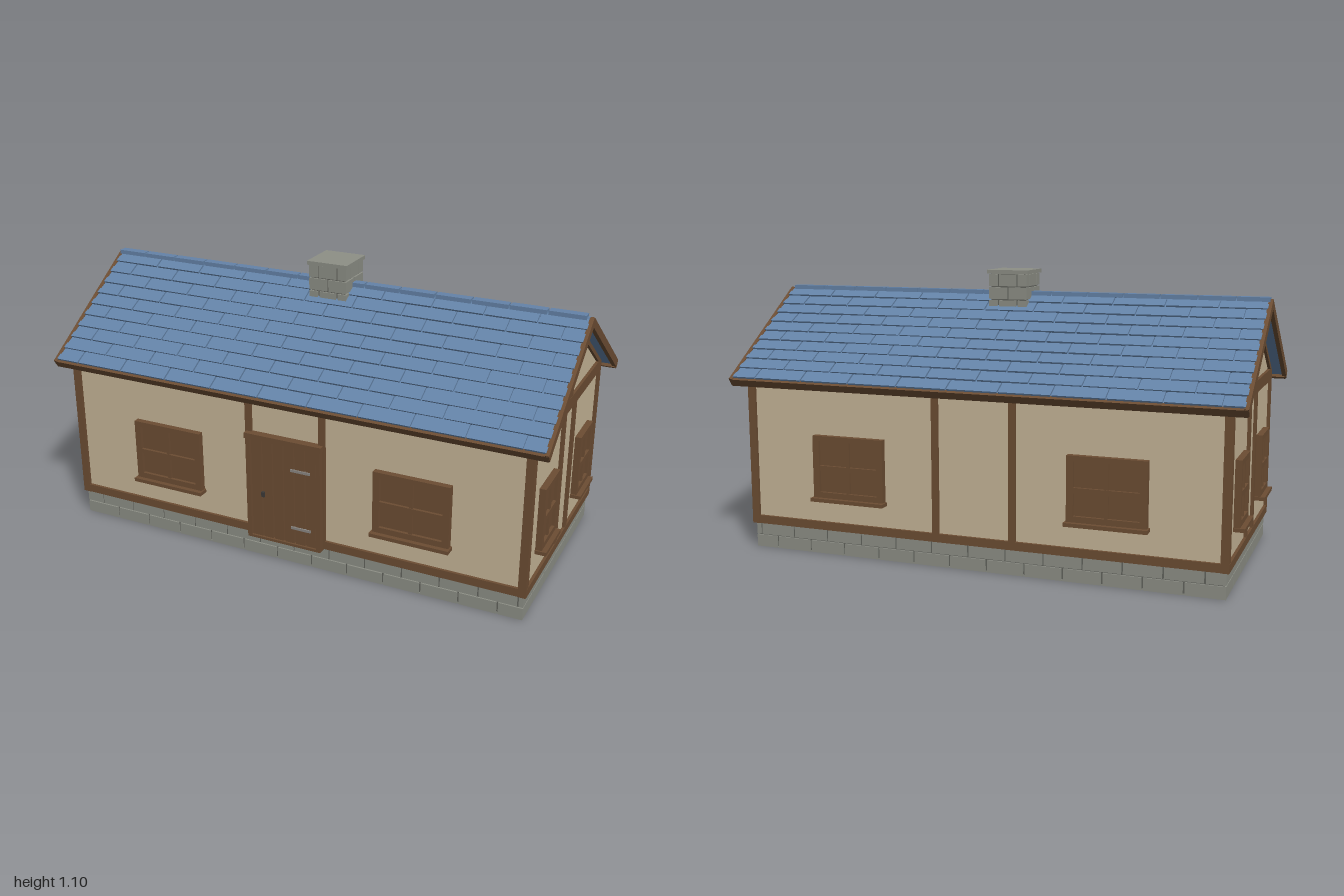
import * as THREE from 'three';
import { mergeGeometries } from 'three/addons/utils/BufferGeometryUtils.js';

const mat = (name, color) => Object.assign(new THREE.MeshStandardMaterial({ color }), { name });

// box given by its limits on each axis
const span = (x0, x1, y0, y1, z0, z1) =>
  new THREE.BoxGeometry(x1 - x0, y1 - y0, z1 - z0)
    .translate((x0 + x1) / 2, (y0 + y1) / 2, (z0 + z1) / 2);

function part(parent, name, material, geometries) {
  const mesh = new THREE.Mesh(mergeGeometries(geometries), material);
  mesh.name = name;
  parent.add(mesh);
  return mesh;
}

function group(parent, name) {
  const g = new THREE.Group();
  g.name = name;
  parent.add(g);
  return g;
}

// split -half..half into pieces of a given length, leaving a gap at every joint
function pieces(half, length, shift, gap) {
  const out = [];
  for (let a = -half - shift; a < half - 0.01; a += length) {
    const lo = Math.max(a, -half), hi = Math.min(a + length, half);
    if (hi - lo > 0.015) {
      out.push([lo === -half ? lo : lo + gap / 2, hi === half ? hi : hi - gap / 2]);
    }
  }
  return out;
}

// one ring of masonry blocks around a rectangle
function course(hx, hz, y0, y1, length, shift) {
  const t = 0.012, list = [];
  for (const s of [-1, 1]) {
    const zc = s * (hz - t / 2), xc = s * (hx - t / 2);
    for (const [a, b] of pieces(hx, length, shift, 0.007)) list.push(span(a, b, y0, y1, zc - t / 2, zc + t / 2));
    for (const [a, b] of pieces(hz, length, shift, 0.007)) list.push(span(xc - t / 2, xc + t / 2, y0, y1, a, b));
  }
  return list;
}

export function createModel() {
  const wood = mat('timber brown', 0x6c4d33);
  const plaster = mat('cream plaster', 0xc6b597);
  const slate = mat('blue slate', 0x6483a8);
  const stone = mat('grey stone', 0x8d8f86);
  const mortar = mat('dark mortar', 0x62635d);
  const iron = mat('hinge iron', 0x8a8782);
  const darkIron = mat('handle iron', 0x3c3a38);

  const house = new THREE.Group();
  house.name = 'cottage';
  const HX = 0.935, HZ = 0.43;

  // foundation
  const foundation = group(house, 'foundation');
  part(foundation, 'foundationCore', mortar, [span(-HX + 0.006, HX - 0.006, 0.004, 0.1, -HZ + 0.006, HZ - 0.006)]);
  part(foundation, 'foundationBase', stone, [span(-HX + 0.004, HX - 0.004, 0, 0.005, -HZ + 0.004, HZ - 0.004)]);
  part(foundation, 'foundationBlocks', stone, [
    ...course(HX, HZ, 0, 0.047, 0.148, 0),
    ...course(HX, HZ, 0.051, 0.098, 0.148, 0.074),
  ]);

  // plaster body with both gables
  const profile = new THREE.Shape([[-HZ, 0.098], [HZ, 0.098], [HZ, 0.683], [0, 0.972], [-HZ, 0.683]]
    .map(([x, y]) => new THREE.Vector2(x, y)));
  part(house, 'walls', plaster, [
    new THREE.ExtrudeGeometry(profile, { depth: 2 * HX, bevelEnabled: false })
      .translate(0, 0, -HX).rotateY(Math.PI / 2),
  ]);

  // corner posts
  const corners = [];
  for (const sx of [-1, 1]) for (const sz of [-1, 1]) {
    corners.push(new THREE.BoxGeometry(0.03, 0.585, 0.03).translate(sx * 0.93, 0.39, sz * 0.427));
  }
  part(house, 'cornerPosts', wood, corners);

  // a wall's own frame has z = 0 on the plaster, facing outwards
  function wallGroup(name, turn, distance) {
    const g = group(house, name);
    g.rotation.y = turn;
    g.position.set(Math.sin(turn) * distance, 0, Math.cos(turn) * distance);
    return g;
  }

  function addWindow(wall, cx, w, border) {
    const g = group(wall, 'window');
    g.position.x = cx;
    const h = w / 2, y0 = 0.23, y1 = 0.472, m = 0.007;
    part(g, 'windowPanel', wood, [span(-h + 0.005, h - 0.005, y0, y1 - 0.005, -0.005, 0.012)]);
    part(g, 'windowFrame', wood, [
      span(-h, -h + border, y0, y1, -0.005, 0.024), span(h - border, h, y0, y1, -0.005, 0.024),
      span(-h, h, y0, y0 + 0.022, -0.005, 0.024), span(-h, h, y1 - 0.02, y1, -0.005, 0.024),
      span(-m, m, y0, y1, 0, 0.021), span(-h, h, 0.336, 0.356, 0, 0.023),
    ]);
    part(g, 'windowSill', wood, [span(-h - 0.006, h + 0.006, 0.216, 0.23, -0.005, 0.042)]);
  }

  // long walls
  for (const [name, turn] of [['frontWall', 0], ['backWall', Math.PI]]) {
    const wall = wallGroup(name, turn, HZ);
    part(wall, 'wallBeams', wood, [
      span(-0.94, 0.94, 0.098, 0.13, -0.01, 0.011), span(-0.94, 0.94, 0.653, 0.683, -0.01, 0.011),
      ...[-1, 1].map(s => new THREE.BoxGeometry(0.026, 0.57, 0.02).translate(s * 0.152, 0.385, 0.001)),
    ]);
    for (const s of [-1, 1]) addWindow(wall, s * 0.51, 0.295, 0.026);
    if (turn === 0) addDoor(wall);
  }

  // plank door with frame, hinges and handle
  function addDoor(wall) {
    const door = group(wall, 'door');
    part(door, 'doorFrame', wood, [
      span(-0.155, -0.137, 0.09, 0.524, -0.005, 0.03), span(0.137, 0.155, 0.09, 0.524, -0.005, 0.03),
      span(-0.16, 0.16, 0.502, 0.524, -0.005, 0.032), span(-0.155, 0.155, 0.088, 0.098, -0.005, 0.03),
      span(-0.14, 0.14, 0.095, 0.51, -0.005, 0.014),
    ]);
    part(door, 'doorPlanks', wood, pieces(0.135, 0.045, 0, 0.005).map(([a, b]) => span(a, b, 0.098, 0.5, 0, 0.022)));
    part(door, 'doorHinges', iron, [0.165, 0.405].map(y => span(0.03, 0.112, y - 0.005, y + 0.005, 0.018, 0.027)));
    part(door, 'doorHandle', darkIron, [span(-0.092, -0.08, 0.27, 0.29, 0.018, 0.031)]);
  }

  // gable walls
  for (const [name, turn] of [['leftGable', Math.PI / 2], ['rightGable', -Math.PI / 2]]) {
    const wall = wallGroup(name, turn, HX);
    part(wall, 'gableBeams', wood, [
      span(-0.435, 0.435, 0.098, 0.13, -0.01, 0.011), span(-0.435, 0.435, 0.65, 0.697, -0.01, 0.011),
      span(-0.014, 0.014, 0.69, 0.975, -0.01, 0.01),
      ...[-1, 1].map(s => new THREE.BoxGeometry(0.03, 0.54, 0.02).translate(s * 0.069, 0.39, 0)),
    ]);
    for (const s of [-1, 1]) addWindow(wall, s * 0.235, 0.177, 0.02);
  }

  // roof slopes: local z runs down the slope, local y points out of it
  const ROWS = 10, pitch = Math.atan2(0.325, 0.485), L = 0.478 / Math.cos(pitch), step = L / ROWS;
  for (const [name, turn] of [['frontRoof', 0], ['backRoof', Math.PI]]) {
    const side = group(house, name);
    side.rotation.y = turn;
    const slope = group(side, 'slope');
    slope.position.y = 1.003;
    slope.rotation.x = pitch;
    part(slope, 'roofDeck', slate, [span(-0.984, 0.984, -0.022, -0.009, 0, L)]);

    // overlapping slates, staggered by half a width
    const slates = [];
    for (let r = 0; r < ROWS; r++) {
      pieces(0.988, 0.2, (r % 2) * 0.1, 0.006).forEach(([a, b], i) => {
        const lift = 0.1 + 0.025 * Math.sin(r * 12.9 + i * 7.3);
        slates.push(span(a, b, -0.004, 0.004, -step - 0.004, 0)
          .rotateX(-lift).translate(0, 0.001, (r + 1) * step));
      });
    }
    part(slope, 'roofSlates', slate, slates);

    part(slope, 'eaveBoard', wood, [span(-0.997, 0.997, -0.034, -0.002, L - 0.004, L + 0.011)]);
    part(slope, 'bargeBoards', wood, [-1, 1].map(s =>
      new THREE.BoxGeometry(0.016, 0.032, L + 0.01).translate(s * 0.992, -0.014, L / 2 + 0.005)));
    part(slope, 'gableRafters', wood, [-1, 1].map(s =>
      new THREE.BoxGeometry(0.02, 0.018, L - 0.06).translate(s * 0.936, -0.03, L / 2 - 0.03)));
  }

  // ridge tiles
  part(house, 'ridgeTiles', slate, pieces(0.99, 0.142, 0.02, 0.006).map(([a, b]) => span(a, b, 0.996, 1.012, -0.018, 0.018)));

  // chimney
  const chimney = group(house, 'chimney');
  part(chimney, 'chimneyCore', mortar, [span(-0.07, 0.07, 0.88, 1.08, -0.07, 0.07)]);
  const blocks = [];
  for (let i = 0; i < 4; i++) {
    const y = 0.88 + i * 0.05;
    blocks.push(...course(0.077, 0.077, y + 0.003, y + 0.048, 0.077, (i % 2) * 0.038));
  }
  part(chimney, 'chimneyBlocks', stone, blocks);
  part(chimney, 'chimneyCap', stone, [span(-0.083, 0.083, 1.08, 1.095, -0.083, 0.083)]);

  return house;
}
